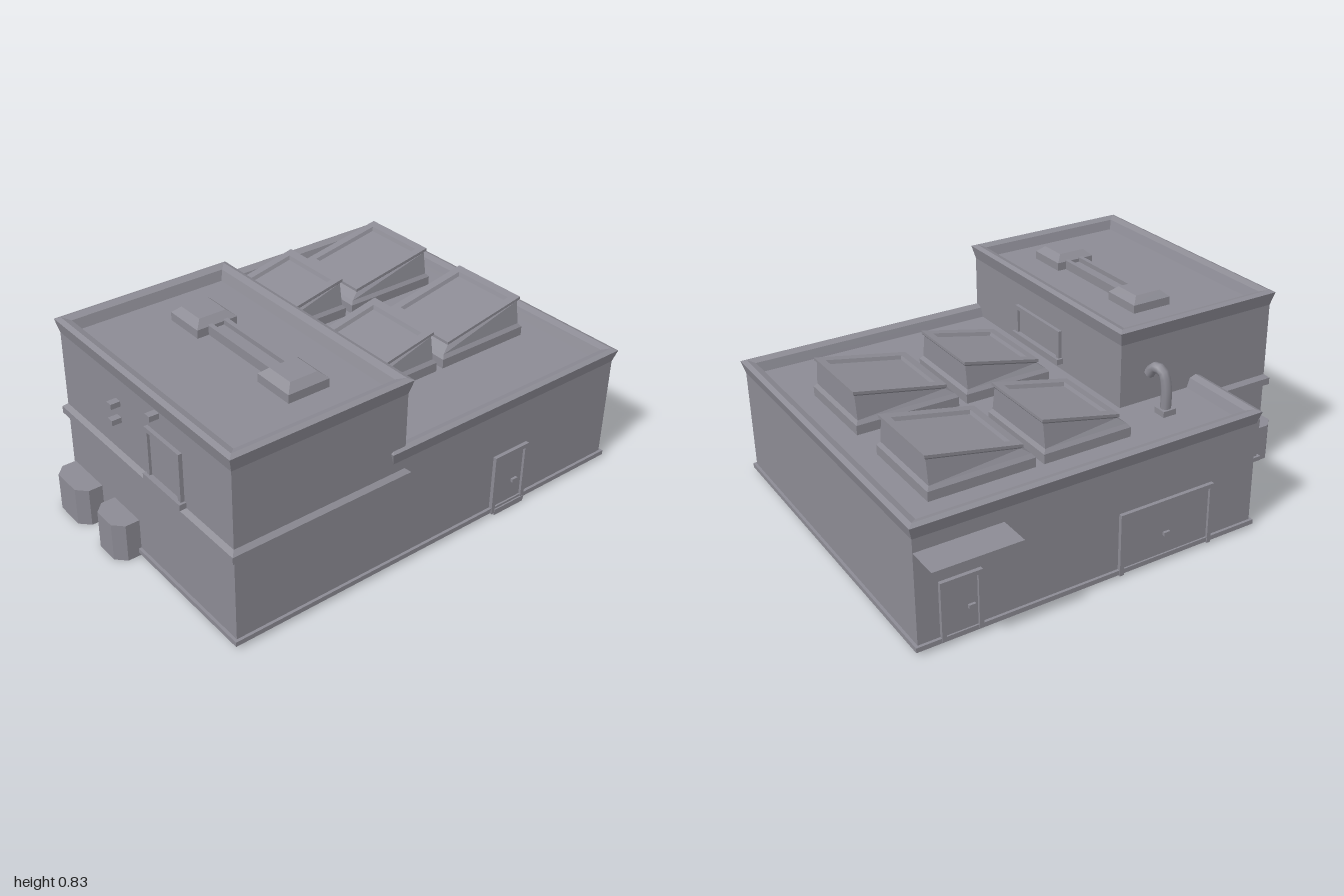
import * as THREE from 'three';

const grey = new THREE.MeshStandardMaterial({ color: 0x8c8b94 });
grey.name = 'concrete grey';
const greySheet = grey.clone();
greySheet.name = 'concrete grey sheet';
greySheet.side = THREE.DoubleSide;

// Outline of a rectangle, counter-clockwise seen from above
const rect = (x0, x1, z0, z1) => [[x0, z1], [x1, z1], [x1, z0], [x0, z0]];

// Move every side of a right-angled outline inwards by d
function inset(outline, d) {
  const n = outline.length;
  return outline.map(([x, z], i) => {
    const p = outline[(i + n - 1) % n], q = outline[(i + 1) % n];
    const sides = [[x - p[0], z - p[1]], [q[0] - x, q[1] - z]];
    let nx = x, nz = z;
    for (const [dx, dz] of sides) {
      const l = Math.hypot(dx, dz);
      nx += (dz / l) * d;
      nz -= (dx / l) * d;
    }
    return [nx, nz];
  });
}

// Closed solid through rings of [x, y, z] points, from bottom to top
function loft(rings) {
  const pos = [];
  const n = rings[0].length;
  for (let r = 0; r + 1 < rings.length; r++) {
    for (let i = 0; i < n; i++) {
      const j = (i + 1) % n, a = rings[r], b = rings[r + 1];
      for (const p of [a[i], a[j], b[j], a[i], b[j], b[i]]) pos.push(...p);
    }
  }
  const flat = rings[0].map(([x, , z]) => new THREE.Vector2(x, -z));
  const top = rings[rings.length - 1];
  for (const [a, b, c] of THREE.ShapeUtils.triangulateShape(flat, [])) {
    for (const k of [a, b, c]) pos.push(...top[k]);
    for (const k of [a, c, b]) pos.push(...rings[0][k]);
  }
  const g = new THREE.BufferGeometry();
  g.setAttribute('position', new THREE.Float32BufferAttribute(pos, 3));
  g.computeVertexNormals();
  return g;
}

const level = (outline, y) => outline.map(([x, z]) => [x, y, z]);

function add(parent, name, geometry, x = 0, y = 0, z = 0, material = grey) {
  const m = new THREE.Mesh(geometry, material);
  m.name = name;
  m.position.set(x, y, z);
  parent.add(m);
  return m;
}

function box(parent, name, x0, x1, y0, y1, z0, z1) {
  return add(parent, name, new THREE.BoxGeometry(x1 - x0, y1 - y0, z1 - z0),
    (x0 + x1) / 2, (y0 + y1) / 2, (z0 + z1) / 2);
}

// Walls with a flared parapet around a sunken roof
function block(parent, name, outline, y0, wallTop, rimTop, floor) {
  add(parent, name, loft([
    level(outline, y0),
    level(outline, wallTop),
    level(inset(outline, -0.014), rimTop - 0.008),
    level(inset(outline, 0.006), rimTop),
    level(inset(outline, 0.035), rimTop - 0.01),
    level(inset(outline, 0.05), floor),
  ]));
}

// Framed door or window facing +z, standing on its own y = 0
function opening(parent, name, w, h, x, y, z, turn, sill, handle) {
  const g = new THREE.Group();
  g.name = name;
  g.position.set(x, y, z);
  g.rotation.y = turn;
  const t = 0.018, d = 0.016;
  box(g, 'panel', -w / 2, w / 2, 0, h, -0.01, 0.005);
  for (const s of [-1, 1]) {
    const c = s * (w / 2 - t / 2);
    box(g, 'jamb', c - t / 2, c + t / 2, 0, h, -0.01, d);
  }
  box(g, 'lintel', -w / 2, w / 2, h - t, h, -0.01, d);
  if (sill) box(g, 'sill', -w / 2 - 0.01, w / 2 + 0.01, -0.006, t, -0.01, d + 0.012);
  if (handle !== null) box(g, 'handle', handle - 0.014, handle + 0.014, h * 0.4, h * 0.4 + 0.015, 0, 0.016);
  parent.add(g);
}

// Curb with a sloped, recessed glass frame
function skylight(parent, x0, x1, z0, z1) {
  const slope = (o, d, drop) => inset(o, d).map(([x, z]) =>
    [x, 0.575 + 0.085 * (x - x0) / (x1 - x0) - drop, z]);
  const curb = rect(x0, x1, z0, z1);
  const top = rect(x0 + 0.04, x1 - 0.005, z0 + 0.02, z1 - 0.02);
  add(parent, 'skylight', loft([
    level(curb, 0.46),
    level(curb, 0.525),
    level(inset(curb, 0.012), 0.54),
    slope(top, 0.008, 0.02),
    slope(top, 0, 0.012),
    slope(top, 0, 0),
    slope(top, 0.035, 0),
    slope(top, 0.042, 0.015),
  ]));
}

export function createModel() {
  const model = new THREE.Group();
  model.name = 'building';

  // Low hall and tall wing
  const hall = [[-0.2, 0.805], [0.975, 0.805], [0.975, -0.695], [-0.53, -0.695], [-0.53, -0.24], [-0.2, -0.24]];
  block(model, 'hall', hall, 0.02, 0.475, 0.535, 0.485);
  const wing = rect(-0.9, -0.145, -0.32, 0.805);
  block(model, 'wing', wing, 0.02, 0.755, 0.82, 0.77);

  // Thin footing skirts
  add(model, 'hallFooting', loft([level(inset(hall, -0.012), 0.015), level(inset(hall, -0.012), 0.035)]));
  add(model, 'wingFooting', loft([level(inset(wing, -0.012), 0.015), level(inset(wing, -0.012), 0.035)]));

  // Moulding around the outer sides of the wing
  const band = rect(-0.9, -0.145, -0.32, 0.805);
  add(model, 'wingMoulding', loft([
    level(band, 0.38), level(inset(band, -0.018), 0.39),
    level(inset(band, -0.018), 0.42), level(band, 0.435),
  ]));

  // Four roof skylights
  for (const [x0, x1] of [[-0.045, 0.345], [0.38, 0.825]]) {
    for (const [z0, z1] of [[-0.53, -0.13], [0.04, 0.44]]) skylight(model, x0, x1, z0, z1);
  }

  // Roof duct: two hoods joined by a pair of rails
  for (const z of [-0.03, 0.53]) {
    const hood = rect(-0.53, -0.35, z - 0.09, z + 0.09);
    add(model, 'ductHood', loft([
      level(hood, 0.76), level(hood, 0.805), level(inset(hood, 0.03), 0.832),
    ]));
  }
  box(model, 'ductBed', -0.475, -0.395, 0.765, 0.79, 0.04, 0.46);
  for (const x of [-0.47, -0.4]) box(model, 'ductRail', x - 0.01, x + 0.01, 0.765, 0.81, 0.04, 0.46);

  // Bent vent pipe on the hall roof
  const bend = new THREE.CatmullRomCurve3([
    [-0.27, 0.47, -0.45], [-0.27, 0.6, -0.45], [-0.265, 0.66, -0.43], [-0.255, 0.665, -0.39], [-0.25, 0.63, -0.365],
  ].map((p) => new THREE.Vector3(...p)));
  add(model, 'ventPipe', new THREE.TubeGeometry(bend, 12, 0.022, 8), 0, 0, 0, greySheet);
  box(model, 'ventFoot', -0.3, -0.24, 0.48, 0.51, -0.48, -0.42);

  // Doors and step
  opening(model, 'frontDoor', 0.18, 0.27, 0.415, 0.01, 0.805, 0, false, 0.03);
  box(model, 'frontStep', 0.34, 0.5, 0, 0.025, 0.78, 0.823);
  opening(model, 'backDoor', 0.17, 0.25, 0.8, 0.02, -0.695, Math.PI, false, 0.04);
  opening(model, 'garageDoor', 0.44, 0.27, -0.1, 0.01, -0.695, Math.PI, false, 0);

  // Flat canopy over the back door
  const canopy = new THREE.PlaneGeometry(0.36, 0.14);
  canopy.rotateX(-Math.PI / 2);
  add(model, 'backCanopy', canopy, 0.795, 0.42, -0.76, greySheet);

  // Wing windows
  opening(model, 'sideWindow', 0.22, 0.22, -0.9, 0.44, 0.4, -Math.PI / 2, true, null);
  opening(model, 'roofWindow', 0.34, 0.14, -0.145, 0.52, 0.27, Math.PI / 2, true, null);

  // Small wall fixtures
  for (const [y, z] of [[0.73, 0.36], [0.64, 0.09], [0.57, 0.09]]) {
    box(model, 'wallLamp', -0.94, -0.89, y, y + 0.022, z - 0.015, z + 0.015);
  }
  box(model, 'rainSpout', -0.57, -0.52, 0.44, 0.47, -0.67, -0.63);

  // Two cooling units beside the wing
  for (const [z0, z1] of [[-0.31, -0.1], [-0.005, 0.175]]) {
    const unit = [[-1, z1 - 0.04], [-0.96, z1], [-0.88, z1], [-0.88, z0], [-0.96, z0], [-1, z0 + 0.04]];
    add(model, 'coolingUnit', loft([level(unit, 0), level(unit, 0.165)]));
  }
  return model;
}
